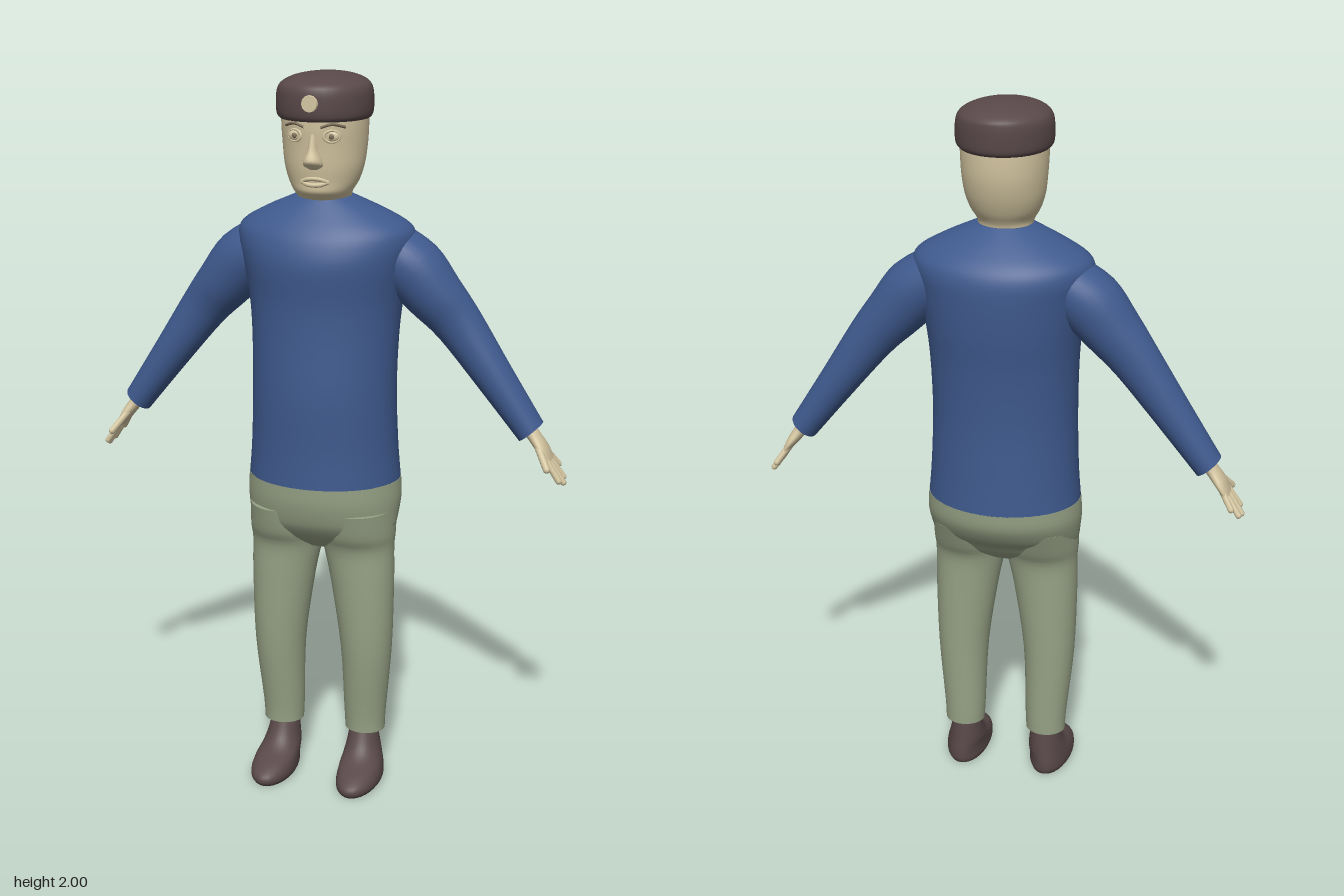
import * as THREE from 'three';

const mat = (name, color) => {
  const m = new THREE.MeshStandardMaterial({ color });
  m.name = name;
  return m;
};

// Closed smooth skin through rings: point = centre + u*cos + v*sin, with flat end caps.
// Each key ring is nine numbers (centre, u, v); rings between them are splined.
function loft(keys, { sides = 32, steps = 4, power = 2 } = {}) {
  const rings = [];
  const last = keys.length - 1;
  for (let s = 0; s <= last * steps; s++) {
    const i = Math.min(Math.floor(s / steps), last - 1);
    const t = s / steps - i;
    const [a, b, c, d] = [i - 1, i, i + 1, i + 2].map(n => keys[Math.max(0, Math.min(last, n))]);
    rings.push(b.map((_, k) => b[k] + 0.5 * t * (c[k] - a[k]
      + t * (2 * a[k] - 5 * b[k] + 4 * c[k] - d[k] + t * (3 * (b[k] - c[k]) + d[k] - a[k])))));
  }
  const pos = [], idx = [];
  const addRing = r => {
    for (let j = 0; j < sides; j++) {
      const a = (j / sides) * Math.PI * 2;
      const ca = Math.sign(Math.cos(a)) * Math.abs(Math.cos(a)) ** (2 / power);
      const sa = Math.sign(Math.sin(a)) * Math.abs(Math.sin(a)) ** (2 / power);
      for (let k = 0; k < 3; k++) pos.push(r[k] + r[3 + k] * ca + r[6 + k] * sa);
    }
  };
  rings.forEach(addRing);
  for (let i = 0; i < rings.length - 1; i++) {
    for (let j = 0; j < sides; j++) {
      const a = i * sides + j, b = i * sides + (j + 1) % sides;
      idx.push(a, a + sides, b, b, a + sides, b + sides);
    }
  }
  for (const end of [0, 1]) {
    const r = rings[end ? rings.length - 1 : 0];
    const base = pos.length / 3;
    addRing(r);
    pos.push(r[0], r[1], r[2]);
    for (let j = 0; j < sides; j++) {
      const a = base + j, b = base + (j + 1) % sides;
      idx.push(base + sides, end ? b : a, end ? a : b);
    }
  }
  const g = new THREE.BufferGeometry();
  g.setAttribute('position', new THREE.Float32BufferAttribute(pos, 3));
  g.setIndex(idx);
  g.computeVertexNormals();
  return g;
}

// Upright body: rows of [y, half width, front z, back z, centre x], lowest first
const upright = (rows, options) => loft(rows.map(([y, rx, zf, zb, x = 0]) =>
  [x, y, (zf + zb) / 2, rx, 0, 0, 0, 0, (zf - zb) / 2]), options);

// Limb leaning in the xy plane: rows of [x, y, z, direction x, direction y, thickness, z radius]
const limb = (rows, options) => loft(rows.map(([x, y, z, dx, dy, r, rz]) => {
  const l = Math.hypot(dx, dy);
  return [x, y, z, dy / l * r, -dx / l * r, 0, 0, 0, rz];
}), options);

function mirrored(geometry) {
  const g = geometry.clone().scale(-1, 1, 1);
  const ix = g.index.array;
  for (let i = 0; i < ix.length; i += 3) [ix[i], ix[i + 1]] = [ix[i + 1], ix[i]];
  g.computeVertexNormals();
  return g;
}

function capsule(a, b, r) {
  const p = new THREE.Vector3(...a), q = new THREE.Vector3(...b);
  const d = q.clone().sub(p);
  const g = new THREE.CapsuleGeometry(r, d.length(), 4, 10);
  g.applyQuaternion(new THREE.Quaternion().setFromUnitVectors(new THREE.Vector3(0, 1, 0), d.clone().normalize()));
  return g.translate(...p.add(q).multiplyScalar(0.5).toArray());
}

const tube = (points, r) => new THREE.TubeGeometry(
  new THREE.CatmullRomCurve3(points.map(p => new THREE.Vector3(...p))), 16, r, 8);

export function createModel() {
  const skin = mat('skin', 0xd4c6a1);
  const shirt = mat('blue shirt', 0x3f5a8e);
  const trousers = mat('sage trousers', 0x97a286);
  const leather = mat('dark brown', 0x5a494a);
  const eyeDark = mat('brow and pupil', 0x7d705a);

  const model = new THREE.Group();
  model.name = 'standingMan';
  const add = (name, geometry, material, parent = model) => {
    const m = new THREE.Mesh(geometry, material);
    m.name = name;
    parent.add(m);
    return m;
  };
  const pair = (name, geometry, material, parent) => {
    add(name + 'Left', geometry, material, parent);
    add(name + 'Right', mirrored(geometry), material, parent);
  };

  // Shirt body and sleeves
  add('shirtBody', upright([
    [0.90, 0.213, 0.167, -0.172], [1.0, 0.205, 0.165, -0.167], [1.15, 0.2, 0.167, -0.163],
    [1.3, 0.203, 0.158, -0.17], [1.4, 0.212, 0.156, -0.182], [1.5, 0.23, 0.163, -0.188],
    [1.56, 0.243, 0.15, -0.185], [1.6, 0.232, 0.128, -0.165], [1.64, 0.165, 0.095, -0.12],
    [1.678, 0.08, 0.062, -0.068]], { sides: 48 }), shirt);
  pair('sleeve', limb([
    [0.15, 1.555, -0.03, 0.8, -0.6, 0.07, 0.085], [0.225, 1.495, -0.03, 0.6, -0.8, 0.088, 0.09],
    [0.30, 1.41, -0.033, 0.56, -0.83, 0.078, 0.076], [0.365, 1.335, -0.04, 0.56, -0.83, 0.066, 0.06],
    [0.46, 1.205, -0.04, 0.58, -0.81, 0.053, 0.054], [0.568, 1.056, -0.04, 0.65, -0.76, 0.041, 0.046]]), shirt);

  // Hands: flat palm, four fingers and a thumb
  const palm = limb([
    [0.55, 1.08, -0.04, 0.56, -0.83, 0.02, 0.027], [0.577, 1.045, -0.038, 0.56, -0.83, 0.018, 0.028],
    [0.603, 1.01, -0.038, 0.56, -0.83, 0.015, 0.043], [0.622, 0.98, -0.04, 0.56, -0.83, 0.009, 0.042]],
    { sides: 20 });
  pair('palm', palm, skin);
  [[0.988, -0.009, 0.933, -0.004], [0.986, -0.029, 0.921, -0.034],
    [0.988, -0.051, 0.928, -0.064], [0.995, -0.069, 0.955, -0.09]].forEach(([y0, z0, y1, z1], i) => {
    const x = y => 0.56 + (1.07 - y) * 0.68;
    pair('finger' + (i + 1), capsule([x(y0), y0, z0], [x(y1), y1, z1], 0.0085), skin);
  });
  pair('thumb', capsule([0.59, 1.025, -0.015], [0.625, 0.973, 0.03], 0.0095), skin);

  // Trousers: seat and two tapering legs
  add('trouserSeat', upright([
    [0.70, 0.15, 0.06, -0.03], [0.735, 0.19, 0.105, -0.075], [0.77, 0.207, 0.134, -0.104],
    [0.80, 0.212, 0.149, -0.135], [0.85, 0.217, 0.162, -0.165], [0.901, 0.214, 0.166, -0.172]],
    { sides: 48 }), trousers);
  pair('trouserLeg', upright([
    [0.14, 0.057, 0.055, -0.05, 0.122], [0.2, 0.06, 0.06, -0.052, 0.122], [0.4, 0.073, 0.086, -0.056, 0.127],
    [0.6, 0.09, 0.096, -0.061, 0.115], [0.7, 0.1, 0.101, -0.067, 0.104],
    [0.75, 0.103, 0.123, -0.09, 0.104], [0.82, 0.098, 0.14, -0.12, 0.108]]), trousers);

  // Shoes, toes turned slightly out
  pair('shoe', upright([
    [0, 0.056, 0.188, -0.045, 0.126], [0.012, 0.062, 0.198, -0.05, 0.127], [0.03, 0.062, 0.194, -0.051, 0.127],
    [0.05, 0.059, 0.16, -0.05, 0.125], [0.07, 0.054, 0.105, -0.048, 0.122], [0.1, 0.047, 0.07, -0.046, 0.12],
    [0.15, 0.038, 0.045, -0.042, 0.118]]), leather);

  // Head and neck
  const head = new THREE.Group();
  head.name = 'head';
  model.add(head);
  add('headAndNeck', upright([
    [1.63, 0.088, 0.062, -0.066], [1.662, 0.073, 0.06, -0.063], [1.68, 0.074, 0.078, -0.065],
    [1.695, 0.08, 0.097, -0.072], [1.72, 0.094, 0.1, -0.088], [1.76, 0.106, 0.107, -0.106],
    [1.81, 0.112, 0.112, -0.12], [1.86, 0.115, 0.118, -0.125], [1.91, 0.116, 0.12, -0.125]],
    { sides: 40 }), skin, head);
  add('nose', upright([
    [1.758, 0.014, 0.112, 0.08], [1.768, 0.026, 0.128, 0.08], [1.782, 0.024, 0.142, 0.08],
    [1.81, 0.014, 0.13, 0.08], [1.85, 0.011, 0.119, 0.08]], { sides: 16 }), skin, head);

  // Eyes with lids, pupils and brows
  pair('eyeball', new THREE.SphereGeometry(0.017, 16, 12).scale(1.1, 0.9, 0.6).translate(0.05, 1.845, 0.1), skin, head);
  pair('eyelid', new THREE.TorusGeometry(0.019, 0.0035, 8, 20).scale(1.1, 0.8, 1)
    .rotateY(0.4).translate(0.05, 1.845, 0.106), skin, head);
  pair('pupil', new THREE.SphereGeometry(0.007, 12, 8).scale(1, 1, 0.5).translate(0.05, 1.845, 0.1095), eyeDark, head);
  pair('brow', tube([[0.022, 1.868, 0.115], [0.05, 1.876, 0.107], [0.08, 1.868, 0.084]], 0.004), eyeDark, head);

  // Mouth: upper and lower lip
  [['upperLip', 1.732], ['lowerLip', 1.717]].forEach(([name, y]) =>
    add(name, tube([[-0.036, 1.724, 0.092], [-0.015, y, 0.1], [0.015, y, 0.1], [0.036, 1.724, 0.092]], 0.006), skin, head));

  // Brimless cap with a round badge
  add('cap', upright([
    [1.882, 0.118, 0.128, -0.13], [1.893, 0.126, 0.136, -0.139], [1.92, 0.128, 0.139, -0.142],
    [1.955, 0.125, 0.138, -0.143], [1.975, 0.112, 0.127, -0.137], [1.99, 0.08, 0.09, -0.105],
    [1.998, 0.035, 0.04, -0.055], [2.0, 0.004, 0.0, -0.01]], { sides: 40 }), leather, head);
  add('capBadge', new THREE.CylinderGeometry(0.021, 0.023, 0.008, 12).rotateX(Math.PI / 2)
    .translate(0, 1.93, 0.14), skin, head);

  return model;
}
